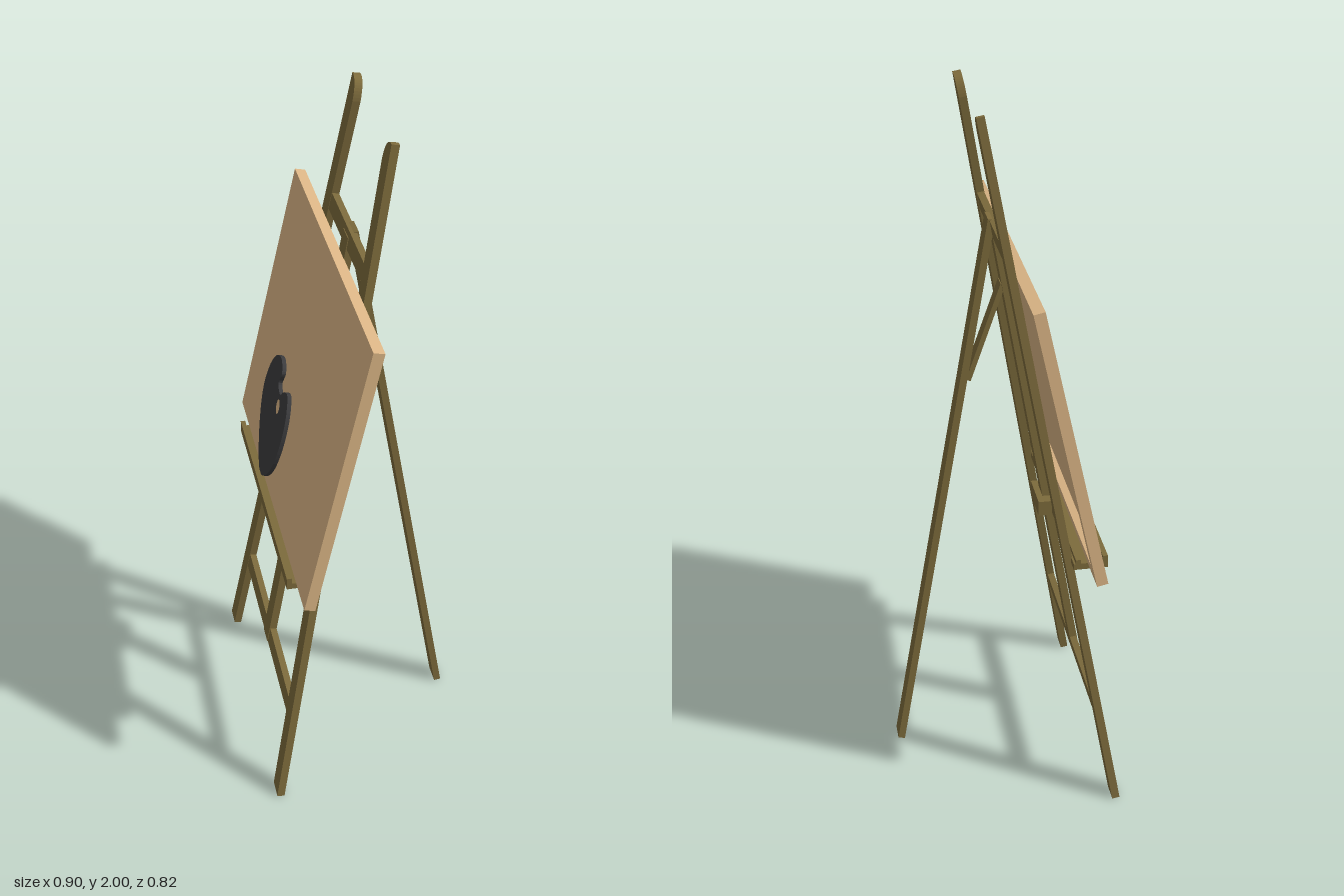
import * as THREE from 'three';

const wood = new THREE.MeshStandardMaterial({ color: 0x7d6b3c });
const tan = new THREE.MeshStandardMaterial({ color: 0xdeb887 });
const dark = new THREE.MeshStandardMaterial({ color: 0x3c3c3e });

function add(parent, name, geometry, material, x = 0, y = 0, z = 0) {
  const mesh = new THREE.Mesh(geometry, material);
  mesh.name = name;
  mesh.position.set(x, y, z);
  parent.add(mesh);
  return mesh;
}

function box(parent, name, material, w, h, d, x, y, z) {
  return add(parent, name, new THREE.BoxGeometry(w, h, d), material, x, y, z);
}

// Straight slat in the x = 0 plane between two (y, z) points
function slat(parent, name, w, t, y0, z0, y1, z1) {
  const m = box(parent, name, wood, w, Math.hypot(y1 - y0, z1 - z0), t, 0, (y0 + y1) / 2, (z0 + z1) / 2);
  m.rotation.x = Math.atan2(z1 - z0, y1 - y0);
  return m;
}

function tilted(parent, name, y, z, angle) {
  const g = new THREE.Group();
  g.name = name;
  g.position.set(0, y, z);
  g.rotation.x = -angle;
  parent.add(g);
  return g;
}

function extrude(shape, depth) {
  return new THREE.ExtrudeGeometry(shape, { depth, bevelEnabled: false, curveSegments: 10 });
}

export function createModel() {
  const model = new THREE.Group();
  model.name = 'easel';
  const easel = new THREE.Group();
  easel.name = 'turnedEasel';
  easel.rotation.y = -0.7155;
  model.add(easel);

  // Leaning front frame; its front face is local z = 0
  const t = 0.022;
  const frame = tilted(easel, 'frontFrame', 0.004, 0.168, 0.168);
  const top = 2.024;
  for (const s of [-1, 1]) {
    // Splayed leg with its inner top corner rounded
    const leg = new THREE.Shape();
    leg.moveTo(s * 0.367, 0);
    leg.lineTo(s * 0.425, 0);
    leg.lineTo(s * 0.221, top);
    leg.lineTo(s * 0.208, top);
    leg.quadraticCurveTo(s * 0.172, top - 0.008, s * 0.17, top - 0.06);
    leg.closePath();
    add(frame, s > 0 ? 'leftFrontLeg' : 'rightFrontLeg', extrude(leg, t), wood, 0, 0, -t);
  }
  // Crossbars, ends buried in the legs
  box(frame, 'lowerCrossbar', wood, 0.71, 0.05, t * 0.9, 0, 0.288, -t / 2);
  box(frame, 'upperCrossbar', wood, 0.44, 0.05, t * 0.9, 0, 1.656, -t / 2);
  box(frame, 'centerBar', wood, 0.06, 1.4, t, 0, 0.963, -t / 2 + 0.001);

  // Rear leg and its brace
  slat(easel, 'rearLeg', 0.06, 0.02, 0.002, -0.427, 1.66, -0.128);
  slat(easel, 'rearBrace', 0.045, 0.014, 1.19, -0.198, 1.47, -0.098);

  // Ledge: shelf, front lip and the clamp on the center bar
  box(easel, 'ledgeShelf', wood, 0.77, 0.018, 0.085, 0, 0.778, 0.075);
  box(easel, 'ledgeLip', wood, 0.77, 0.036, 0.014, 0, 0.787, 0.12);
  box(easel, 'ledgeBackRail', wood, 0.77, 0.03, 0.014, 0, 0.784, 0.045);
  box(easel, 'ledgeClamp', wood, 0.13, 0.045, 0.05, 0, 0.785, 0.018);

  // Board: front panel with a raised border behind it
  const board = tilted(easel, 'board', 0.792, 0.102, 0.212);
  const W = 1.012, H = 0.815, D = 0.031, B = 0.044, P = 0.01;
  box(board, 'panel', tan, W, H, P, 0, H / 2, -P / 2);
  const border = new THREE.Shape();
  border.moveTo(-W / 2, 0);
  border.lineTo(W / 2, 0);
  border.lineTo(W / 2, H);
  border.lineTo(-W / 2, H);
  border.closePath();
  const opening = new THREE.Path();
  opening.moveTo(-W / 2 + B, B);
  opening.lineTo(-W / 2 + B, H - B);
  opening.lineTo(W / 2 - B, H - B);
  opening.lineTo(W / 2 - B, B);
  opening.closePath();
  border.holes.push(opening);
  add(board, 'backBorder', extrude(border, D - P), tan, 0, 0, -D);

  // Paint palette resting on the ledge against the board
  const outline = [
    [-0.279, 0.981], [-0.266, 1.077], [-0.217, 1.14], [-0.165, 1.156], [-0.133, 1.13],
    [-0.144, 1.09], [-0.105, 1.077], [-0.077, 1.103], [-0.038, 1.117], [-0.011, 1.087],
    [0.004, 1.035], [-0.004, 0.934], [-0.045, 0.846], [-0.118, 0.797], [-0.206, 0.855],
  ].map(([x, y]) => new THREE.Vector2(x, (y - 0.792) * 1.023));
  const smooth = new THREE.CatmullRomCurve3(outline.map((p) => new THREE.Vector3(p.x, p.y, 0)), true);
  const palette = new THREE.Shape(smooth.getPoints(70).slice(0, -1).map((p) => new THREE.Vector2(p.x, p.y)));
  const hole = new THREE.Path();
  hole.absellipse(-0.1, 0.253, 0.017, 0.023, 0, Math.PI * 2, true);
  palette.holes.push(hole);
  add(board, 'palette', extrude(palette, 0.012), dark, 0, 0, 0.0005);

  return model;
}
